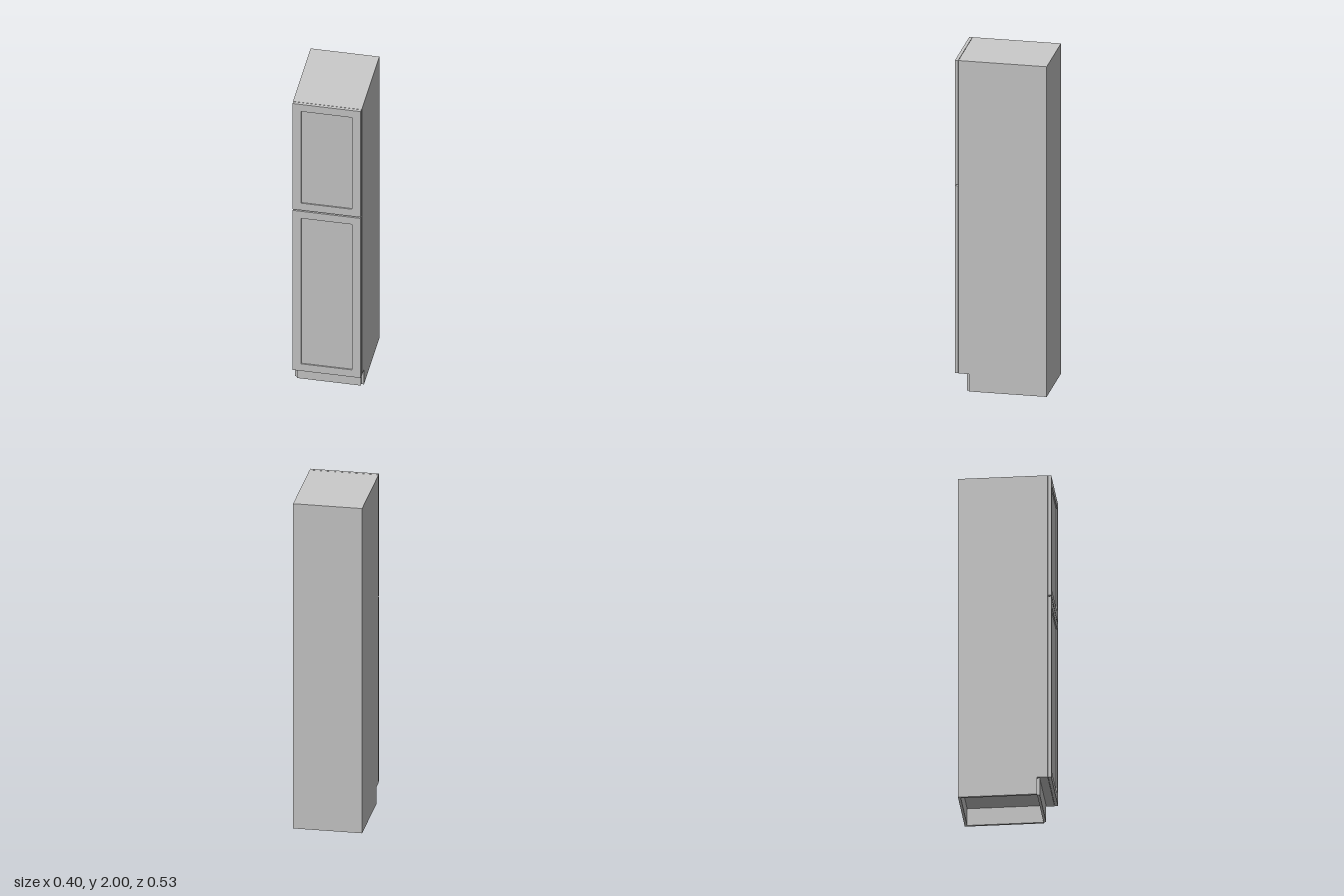
import * as THREE from 'three';

const W = 0.4, H = 2, BACK = -0.267, CARCASS_FRONT = 0.247, FRONT = 0.267;
const T = 0.015, KICK_H = 0.105, KICK_Z = 0.2;

export function createModel() {
  const model = new THREE.Group();
  model.name = 'tallCabinet';
  const material = new THREE.MeshStandardMaterial({ color: 0xcccccc });

  const add = (name, geometry, parent = model) => {
    const mesh = new THREE.Mesh(geometry, material);
    mesh.name = name;
    parent.add(mesh);
    return mesh;
  };

  // Box given by its minimum and maximum corners
  const slab = (name, x0, x1, y0, y1, z0, z1, parent) => {
    const mesh = add(name, new THREE.BoxGeometry(x1 - x0, y1 - y0, z1 - z0), parent);
    mesh.position.set((x0 + x1) / 2, (y0 + y1) / 2, (z0 + z1) / 2);
    return mesh;
  };

  // Side panels, notched at the toe space (shape x runs along -z)
  const kickBack = KICK_Z - T;
  const profile = new THREE.Shape([
    [-BACK, 0], [-BACK, H], [-CARCASS_FRONT, H],
    [-CARCASS_FRONT, KICK_H], [-kickBack, KICK_H], [-kickBack, 0],
  ].map(([x, y]) => new THREE.Vector2(x, y)));
  for (const [name, x] of [['leftSide', W / 2 - T], ['rightSide', -W / 2]]) {
    const side = add(name, new THREE.ExtrudeGeometry(profile, { depth: T, bevelEnabled: false }));
    side.rotation.y = Math.PI / 2;
    side.position.x = x;
  }

  // Panels between the sides
  const inner = W / 2 - T;
  slab('topPanel', -inner, inner, H - T, H, BACK, CARCASS_FRONT);
  slab('bottomPanel', -inner, inner, KICK_H, KICK_H + T, BACK + T, CARCASS_FRONT);
  slab('backPanel', -inner, inner, 0, H - T, BACK, BACK + T);
  slab('fixedShelf', -inner, inner, 1.236, 1.251, BACK + T, CARCASS_FRONT);
  slab('toeKick', -inner, inner, 0, KICK_H, kickBack, KICK_Z);

  // Framed doors with a recessed centre panel
  const doorX = 0.198, rail = 0.05, doorBack = 0.249, recess = 0.007;
  const rect = (Path, x, y0, y1) => new Path([
    new THREE.Vector2(-x, y0), new THREE.Vector2(x, y0),
    new THREE.Vector2(x, y1), new THREE.Vector2(-x, y1),
  ]);
  for (const [name, y0, y1] of [['lowerDoor', KICK_H, 1.24], ['upperDoor', 1.248, H]]) {
    const door = new THREE.Group();
    door.name = name;
    model.add(door);
    const frame = rect(THREE.Shape, doorX, y0, y1);
    frame.holes.push(rect(THREE.Path, doorX - rail, y0 + rail, y1 - rail));
    add('doorFrame', new THREE.ExtrudeGeometry(frame,
      { depth: FRONT - doorBack, bevelEnabled: false }), door).position.z = doorBack;
    slab('doorPanel', rail - doorX, doorX - rail, y0 + rail, y1 - rail,
      doorBack, FRONT - recess, door);
  }
  return model;
}
